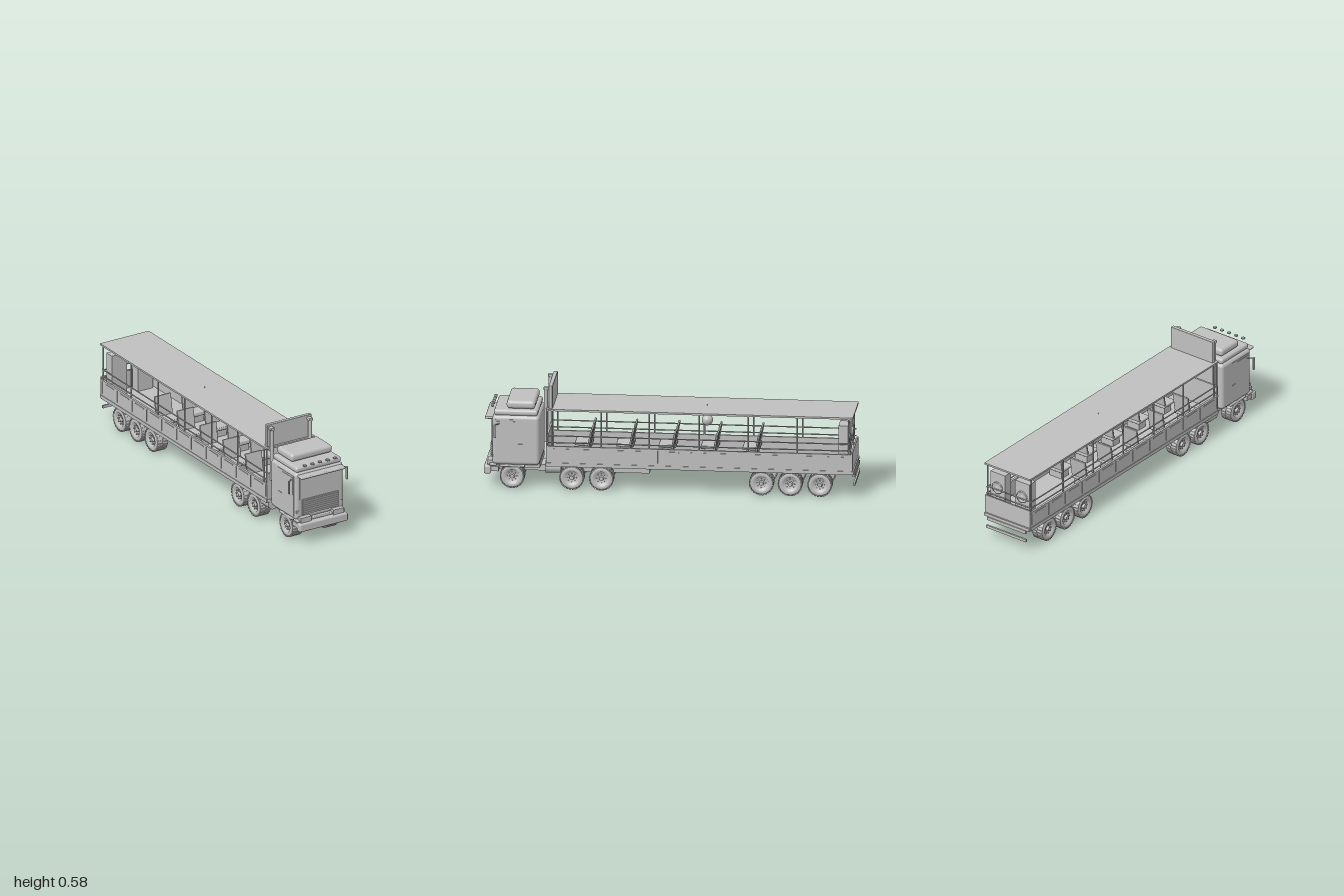
import * as THREE from 'three';
import { RoundedBoxGeometry } from 'three/addons/geometries/RoundedBoxGeometry.js';

export function createModel() {
  const model = new THREE.Group();
  const grey = new THREE.MeshStandardMaterial({ color: 0xc0c0c0 });
  grey.name = 'plain grey';

  function add(name, geo, parent = model) {
    const m = new THREE.Mesh(geo, grey);
    m.name = name;
    parent.add(m);
    return m;
  }
  // Boxes are given by their limits on each axis
  function box(name, x0, x1, y0, y1, z0, z1, r = 0, parent = model) {
    const w = x1 - x0, h = y1 - y0, d = z1 - z0;
    const geo = r ? new RoundedBoxGeometry(w, h, d, 3, r) : new THREE.BoxGeometry(w, h, d);
    geo.translate((x0 + x1) / 2, (y0 + y1) / 2, (z0 + z1) / 2);
    return add(name, geo, parent);
  }
  // The same box on both sides of the vehicle
  function pair(name, x0, x1, y0, y1, z0, z1, r = 0) {
    box(name, x0, x1, y0, y1, z0, z1, r);
    box(name, -x1, -x0, y0, y1, z0, z1, r);
  }
  function rod(name, a, b, r, seg = 10) {
    const p = new THREE.Vector3(...a), q = new THREE.Vector3(...b);
    const m = add(name, new THREE.CylinderGeometry(r, r, p.distanceTo(q), seg));
    m.position.copy(p).lerp(q, 0.5);
    m.quaternion.setFromUnitVectors(new THREE.Vector3(0, 1, 0), q.sub(p).normalize());
    return m;
  }

  // Cab body, roof and wind deflector
  box('cab', -0.153, 0.153, 0.13, 0.405, 0.7, 0.955, 0.02);
  box('cabRoof', -0.144, 0.144, 0.403, 0.436, 0.71, 0.947, 0.014);
  box('airDeflector', -0.131, 0.131, 0.438, 0.483, 0.725, 0.88, 0.018);
  box('sunVisor', -0.14, 0.14, 0.381, 0.395, 0.945, 0.995, 0.006);
  box('windscreen', -0.13, 0.13, 0.25, 0.377, 0.953, 0.96);
  for (let i = -2; i <= 2; i++)
    box('roofLamp', i * 0.048 - 0.009, i * 0.048 + 0.009, 0.439, 0.449, 0.95, 0.967, 0.003);

  // Grille with slats
  box('grillePanel', -0.115, 0.115, 0.16, 0.248, 0.953, 0.962);
  for (let i = 0; i < 7; i++)
    box('grilleSlat', -0.11, 0.11, 0.165 + i * 0.0115, 0.172 + i * 0.0115, 0.961, 0.967);

  // Bumper and lamps
  box('bumper', -0.153, 0.153, 0.078, 0.124, 0.962, 1, 0.008);
  box('bumperStrip', -0.14, 0.14, 0.094, 0.108, 0.995, 1.0);
  box('bumperTop', -0.153, 0.153, 0.124, 0.138, 0.93, 0.972, 0.005);
  pair('headlamp', 0.07, 0.137, 0.124, 0.152, 0.945, 0.982);
  pair('indicator', 0.125, 0.147, 0.172, 0.188, 0.948, 0.957);

  // Doors, windows, steps and mirrors
  pair('door', 0.152, 0.155, 0.15, 0.385, 0.78, 0.935);
  pair('sideWindow', 0.154, 0.157, 0.275, 0.375, 0.83, 0.93);
  pair('doorHandle', 0.154, 0.158, 0.245, 0.25, 0.79, 0.815);
  pair('cabStep', 0.1, 0.15, 0.093, 0.12, 0.92, 0.962);
  pair('mudguard', 0.09, 0.15, 0.118, 0.131, 0.78, 0.915, 0.005);
  for (const s of [-1, 1]) {
    rod('mirrorArm', [s * 0.148, 0.362, 0.91], [s * 0.186, 0.362, 0.938], 0.003);
    box('mirror', s * 0.184 - 0.0045, s * 0.184 + 0.0045, 0.29, 0.365, 0.93, 0.943, 0.003);
  }

  // Tractor chassis and tanks
  box('chassis', -0.06, 0.06, 0.078, 0.112, 0.115, 0.965);
  box('cabFloor', -0.12, 0.12, 0.11, 0.14, 0.7, 0.95);
  box('coupling', -0.06, 0.06, 0.11, 0.132, 0.3, 0.6);
  for (const s of [-1, 1])
    rod('fuelTank', [s * 0.112, 0.118, 0.585], [s * 0.112, 0.118, 0.67], 0.033, 20);
  pair('rearMudguard', 0.085, 0.15, 0.131, 0.147, 0.51, 0.67, 0.005);

  // Wheels: lathed tyre, tread blocks, rim and bolts
  const tyre = [[0.036, -0.034], [0.056, -0.034], [0.0625, -0.028], [0.0625, 0.028],
    [0.056, 0.034], [0.04, 0.034], [0.036, 0.026], [0.02, 0.02], [0, 0.02]];
  const tyreGeo = new THREE.LatheGeometry(
    [[0, -0.03], ...tyre].map(p => new THREE.Vector2(...p)), 32).rotateZ(-Math.PI / 2);
  const hubGeo = new THREE.CylinderGeometry(0.011, 0.015, 0.016, 16).rotateZ(-Math.PI / 2);
  const boltGeo = new THREE.CylinderGeometry(0.003, 0.003, 0.008, 6).rotateZ(-Math.PI / 2);
  const lugGeo = new THREE.BoxGeometry(0.031, 0.006, 0.0115);
  function wheel(s, z) {
    const g = new THREE.Group();
    g.name = 'wheel';
    g.position.set(s * 0.114, 0.066, z);
    if (s < 0) g.rotation.y = Math.PI;
    add('tyre', tyreGeo, g);
    add('hub', hubGeo, g).position.x = 0.026;
    for (let i = 0; i < 8; i++) {
      const a = i * Math.PI / 4;
      add('bolt', boltGeo, g).position.set(0.025, 0.025 * Math.cos(a), 0.025 * Math.sin(a));
    }
    for (let i = 0; i < 48; i++) {
      const a = i * Math.PI / 24;
      const lug = add('treadBlock', lugGeo, g);
      lug.position.set(i % 2 ? 0.0175 : -0.0175, 0.063 * Math.cos(a), 0.063 * Math.sin(a));
      lug.rotation.x = a;
    }
    model.add(g);
  }
  for (const z of [0.848, 0.527, 0.367, -0.495, -0.65, -0.81]) {
    rod('axle', [-0.09, 0.066, z], [0.09, 0.066, z], 0.01, 12);
    wheel(1, z);
    wheel(-1, z);
  }

  // Trailer floor, walls and panel seams
  const front = 0.665, back = -0.98;
  box('trailerFloor', -0.152, 0.152, 0.13, 0.152, back, front);
  pair('sideWall', 0.144, 0.152, 0.15, 0.24, back, front);
  pair('wallRail', 0.143, 0.155, 0.235, 0.243, back, front);
  pair('lowerSill', 0.15, 0.155, 0.13, 0.15, back, front);
  box('frontWall', -0.15, 0.15, 0.15, 0.3, front - 0.01, front);
  box('tailgate', -0.152, 0.152, 0.15, 0.255, back - 0.008, back);
  box('tailSill', -0.152, 0.152, 0.13, 0.148, back - 0.014, back);
  for (let i = 0; i <= 11; i++) {
    const z = 0.655 - i * 0.1478;
    pair('wallRib', 0.151, 0.155, 0.165, 0.236, z - 0.002, z + 0.002);
    if (i < 11) pair('wallTrim', 0.151, 0.155, 0.224, 0.229, z - 0.115, z - 0.03);
  }

  // Canopy roof on posts, with guard rails
  box('canopy', -0.155, 0.155, 0.44, 0.45, -0.99, front);
  for (const z of [0.658, 0.632, 0.367, 0.108, -0.16, -0.425, -0.69, -0.968])
    for (const s of [-1, 1]) rod('post', [s * 0.147, 0.24, z], [s * 0.147, 0.442, z], 0.0042, 8);
  for (const y of [0.262, 0.3]) {
    for (const s of [-1, 1]) rod('guardRail', [s * 0.147, y, front], [s * 0.147, y, back], 0.0035, 8);
    rod('rearRail', [-0.147, y, back + 0.01], [0.147, y, back + 0.01], 0.0035, 8);
  }

  // Headboard with upright pipes
  box('headboard', -0.142, 0.142, 0.44, 0.577, 0.63, 0.652, 0.004);
  for (const s of [-1, 1]) {
    rod('uprightPipe', [s * 0.122, 0.26, 0.668], [s * 0.122, 0.552, 0.668], 0.011, 16);
    box('pipeCap', s * 0.122 - 0.012, s * 0.122 + 0.012, 0.55, 0.566, 0.65, 0.68, 0.004);
  }

  // Rows of seats either side of an aisle
  for (const z of [0.433, 0.21, -0.018, -0.245, -0.47])
    for (const s of [-1, 1]) {
      const x = s * 0.085;
      box('seatBase', x - 0.04, x + 0.04, 0.15, 0.195, z + 0.015, z + 0.075);
      box('seatCushion', x - 0.052, x + 0.052, 0.195, 0.212, z, z + 0.095, 0.005);
      const rest = add('seatBack', new RoundedBoxGeometry(0.105, 0.125, 0.011, 2, 0.004));
      rest.position.set(x, 0.262, z + 0.001);
      rest.rotation.x = -0.17;
    }

  // Mirror ball on a cord through the canopy
  const ball = add('mirrorBall', new THREE.SphereGeometry(0.03, 24, 16));
  ball.position.set(0, 0.37, -0.19);
  rod('ballCord', [0, 0.395, -0.19], [0, 0.458, -0.19], 0.002, 6);

  // Loudspeakers facing the rear
  const cone = new THREE.LatheGeometry([[0.034, 0], [0.034, 0.006], [0.029, 0.006], [0.013, 0.001],
    [0.009, 0.005], [0, 0.007]].map(p => new THREE.Vector2(...p)), 24).rotateX(-Math.PI / 2);
  for (const s of [-1, 1]) {
    const x = s * 0.083;
    box('speakerBox', x - 0.048, x + 0.048, 0.15, 0.398, -0.965, -0.91);
    for (const y of [0.31, 0.21]) add('speakerCone', cone, model).position.set(x, y, -0.965);
  }

  // Rear underrun bar and tail lamps
  box('underrunBar', -0.135, 0.135, 0.064, 0.08, -1, -0.99);
  box('tailLampBar', -0.13, 0.13, 0.112, 0.131, -0.999, -0.985);
  return model;
}
